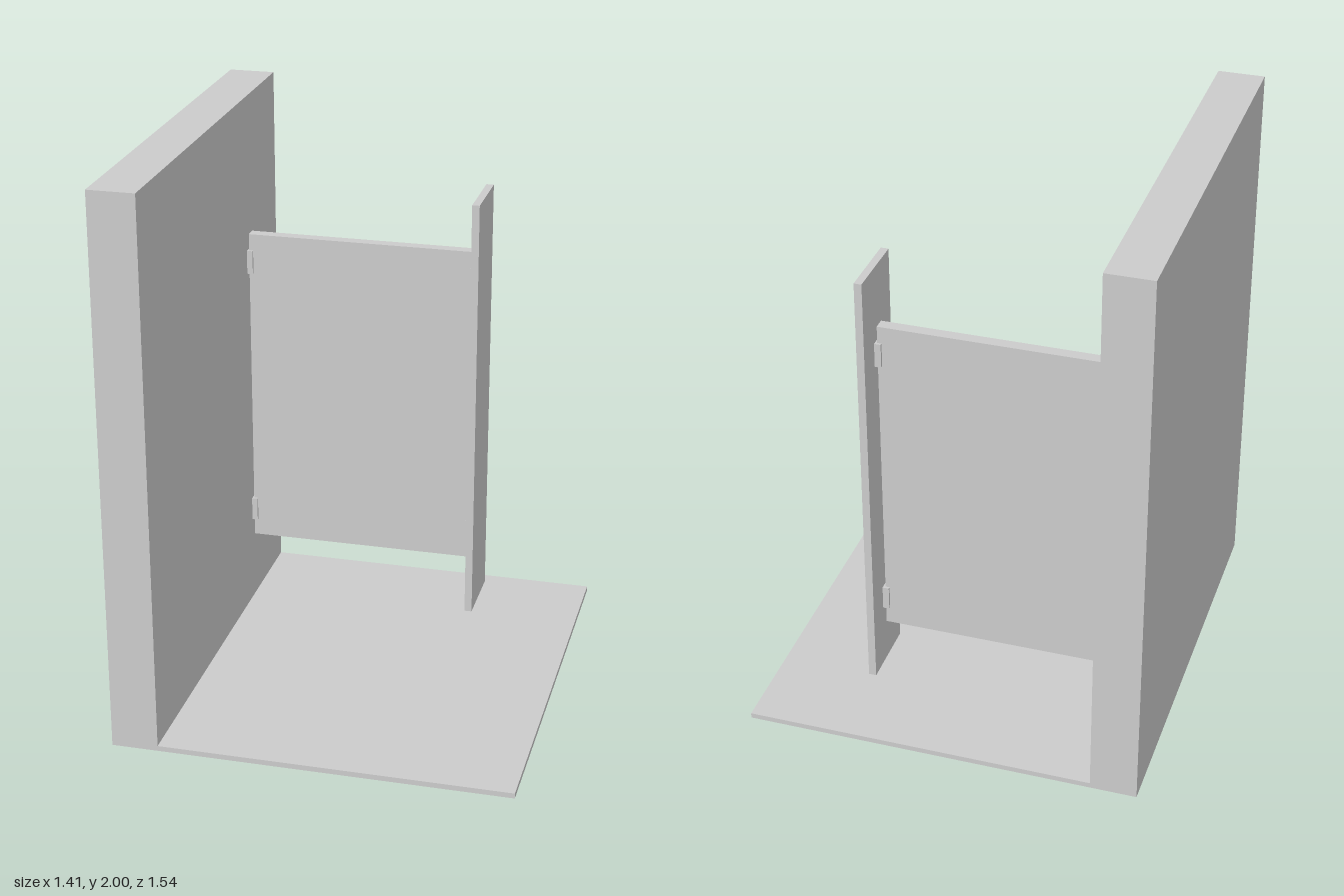
import * as THREE from 'three';

const material = new THREE.MeshStandardMaterial({ color: 0xcccccc });

// Box given by its minimum and maximum on each axis
function slab(name, [x0, x1], [y0, y1], [z0, z1]) {
  const mesh = new THREE.Mesh(new THREE.BoxGeometry(x1 - x0, y1 - y0, z1 - z0), material);
  mesh.name = name;
  mesh.position.set((x0 + x1) / 2, (y0 + y1) / 2, (z0 + z1) / 2);
  return mesh;
}

export function createModel() {
  const model = new THREE.Group();
  model.name = 'partitionDoor';

  // Side wall and thin floor
  model.add(slab('wall', [-0.706, -0.541], [0, 2], [-0.772, 0.772]));
  model.add(slab('floor', [-0.541, 0.706], [0, 0.019], [-0.772, 0.772]));

  // Upright partition panel, raised off the floor
  model.add(slab('post', [0.314, 0.341], [0.11, 1.7], [-0.544, -0.288]));

  // Door between wall and post
  model.add(slab('door', [-0.535, 0.306], [0.28, 1.49], [-0.442, -0.4]));

  // Hinges wrapped around both door edges, at two heights
  for (const y of [0.388, 1.384]) {
    for (const [side, x0, x1] of [['right', -0.541, -0.52], ['left', 0.291, 0.314]]) {
      model.add(slab(side + 'Hinge', [x0, x1], [y - 0.044, y + 0.044], [-0.451, -0.391]));
    }
  }
  return model;
}
